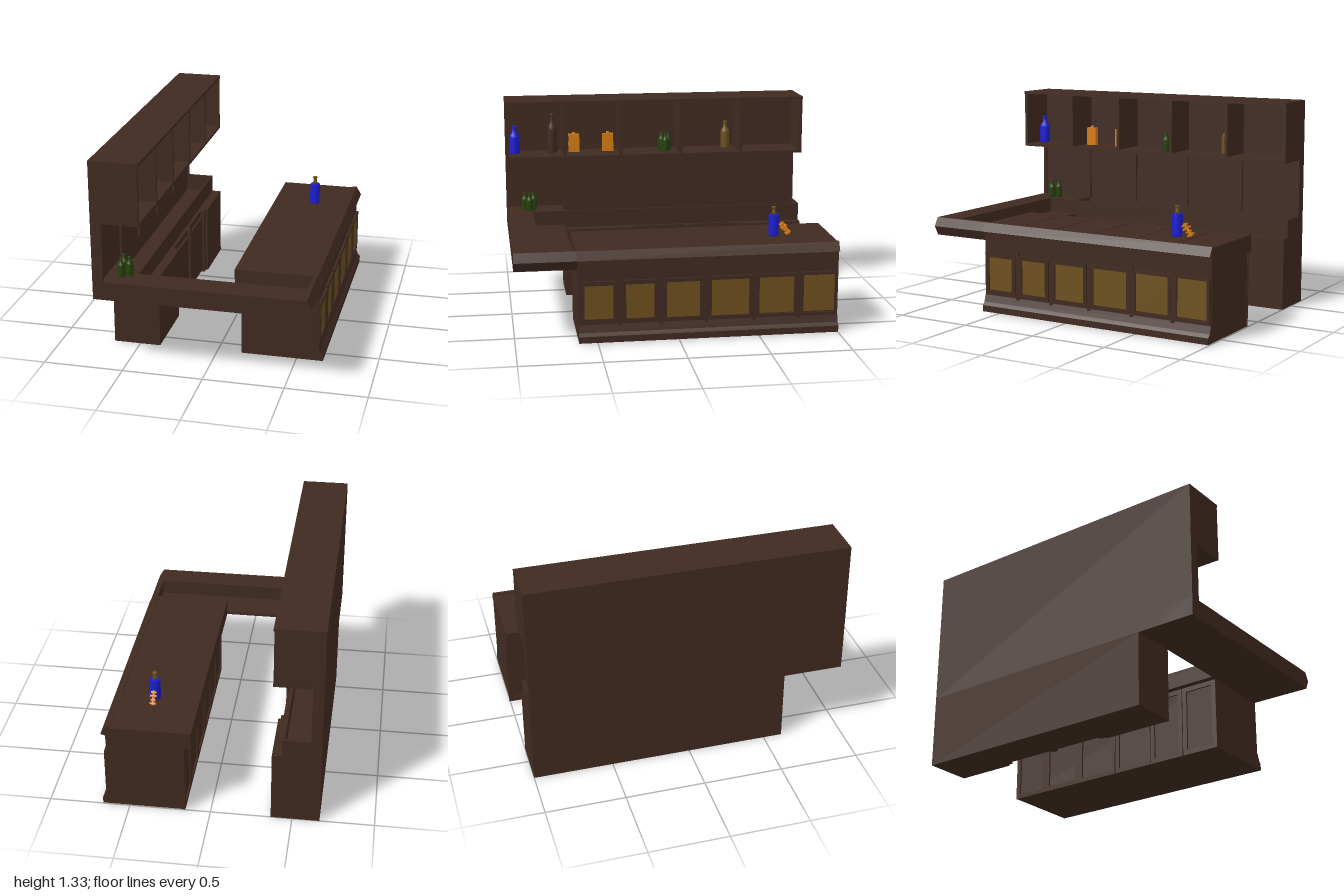
import * as THREE from 'three';

const mat = (name, color) => {
  const m = new THREE.MeshStandardMaterial({ color });
  m.name = name;
  return m;
};

export function createModel() {
  const wood = mat('dark wood', 0x402a20);
  const amber = mat('amber', 0x6d501d);
  const blue = mat('blue glass', 0x1c1cd2);
  const orange = mat('orange', 0xd47d14);
  const green = mat('green glass', 0x25400a);
  const model = new THREE.Group();

  const add = (name, geo, material, parent = model) => {
    const m = new THREE.Mesh(geo, material);
    m.name = name;
    parent.add(m);
    return m;
  };
  // box given by its limits on each axis
  const box = (name, x0, x1, y0, y1, z0, z1, material = wood, parent = model) => {
    const m = add(name, new THREE.BoxGeometry(x1 - x0, y1 - y0, z1 - z0), material, parent);
    m.position.set((x0 + x1) / 2, (y0 + y1) / 2, (z0 + z1) / 2);
    return m;
  };
  // x-y profile swept along z
  const sweep = (name, pts, z0, z1) => {
    const shape = new THREE.Shape(pts.map(p => new THREE.Vector2(...p)));
    const geo = new THREE.ExtrudeGeometry(shape, { depth: z1 - z0, bevelEnabled: false });
    return add(name, geo.translate(0, 0, z0), wood);
  };
  // radius-height profile turned about y
  const turned = (name, pts, sides, material, x, y, z) => {
    const geo = new THREE.LatheGeometry(pts.map(p => new THREE.Vector2(...p)), sides);
    add(name, geo, material).position.set(x, y, z);
  };
  // rectangular frame of four bars on a face across x
  const frame = (name, x0, x1, y0, y1, z0, z1, t) => {
    const g = new THREE.Group();
    g.name = name;
    model.add(g);
    box('lowerRail', x0, x1, y0, y0 + t, z0, z1, wood, g);
    box('upperRail', x0, x1, y1 - t, y1, z0, z1, wood, g);
    box('backStile', x0, x1, y0 + t, y1 - t, z0, z0 + t, wood, g);
    box('frontStile', x0, x1, y0 + t, y1 - t, z1 - t, z1, wood, g);
  };

  // back wall with shallow pilasters
  box('backWall', -0.667, -0.615, 0.46, 1.33, -1, 1);
  for (const z of [0.99, 0.61, 0.235, -0.17, -0.58, -0.99]) {
    box('wallPilaster', -0.615, -0.60, 0.575, 0.945, z - 0.01, z + 0.01);
    box('shelfDivider', -0.615, -0.372, 0.96, 1.315, z - 0.01, z + 0.01);
  }
  // upper shelf
  box('shelfBoard', -0.615, -0.37, 0.945, 0.962, -1, 1);
  box('shelfTop', -0.615, -0.367, 1.312, 1.33, -1, 1);

  // back counter: a sunken well behind a raised lip, above the lower cabinets
  box('wellLip', -0.445, -0.43, 0.46, 0.575, -1, 0.62);
  box('wellEnd', -0.615, -0.445, 0.46, 0.575, -1, -0.985);
  box('lowerCabinet', -0.667, -0.41, 0, 0.46, -1, 0.62);
  box('cabinetEndBlock', -0.41, -0.37, 0, 0.46, -1, -0.61);
  box('cabinetEndBlock', -0.41, -0.37, 0, 0.46, 0.17, 0.62);
  for (const z of [0.15, -0.22, -0.59]) box('cabinetPost', -0.41, -0.385, 0, 0.46, z - 0.02, z + 0.02);
  for (const z of [-0.035, -0.405]) box('cabinetDoor', -0.41, -0.395, 0.04, 0.42, z - 0.145, z + 0.145);

  // front connecting counter: moulded end, and a low work surface behind the raised edge
  const end = [[0.625, 0.46], [0.657, 0.52], [0.625, 0.575]];
  sweep('frontCounterTop', [[-0.667, 0.46], ...end, [-0.667, 0.575]], 0.83, 1);
  sweep('frontWorkSurface', [[-0.667, 0.46], ...end, [0.6, 0.575], [0.6, 0.48], [-0.43, 0.48],
    [-0.43, 0.575], [-0.667, 0.575]], 0.62, 0.83);

  // bar
  box('barBody', 0.165, 0.63, 0.005, 0.47, -1, 0.615);
  sweep('barTop', [[0.113, 0.46], [0.63, 0.46], [0.632, 0.512], [0.66, 0.52], [0.628, 0.575],
    [0.6, 0.575], [0.6, 0.568], [0.113, 0.568]], -1, 0.62);
  sweep('barPlinth', [[0.6, 0.005], [0.667, 0.005], [0.667, 0.045], [0.65, 0.065], [0.635, 0.11], [0.6, 0.11]], -1, 0.615);
  for (const z of [0.36, 0.11, -0.17, -0.47, -0.75]) {
    box('barTopSlat', 0.16, 0.56, 0.566, 0.571, z - 0.004, z + 0.004);
    box('barPilaster', 0.625, 0.644, 0.1, 0.405, z - 0.01, z + 0.01);
  }

  // glazed panels along the bar front: z limits of each frame
  const panels = [[0.375, 0.605], [0.125, 0.35], [-0.155, 0.1], [-0.46, -0.18], [-0.74, -0.48], [-0.995, -0.76]];
  panels.forEach(([z0, z1], i) => {
    const g = i * 0.003;
    frame('panelFrame', 0.625, 0.646, 0.12 - g / 2, 0.385 + g / 2, z0, z1, 0.027 - g / 2);
    box('barPanel', 0.63, 0.638, 0.14, 0.37, z0 + 0.015, z1 - 0.015, amber);
    // recessed doors on the serving side
    frame('servingDoor', 0.154, 0.166, 0.005, 0.46, z0 - 0.01, z1 + 0.01, 0.03);
  });

  // bottles: radius and height fractions from base to lip
  const profile = [[0, 0], [0.95, 0], [1, 0.03], [1, 0.58], [0.85, 0.68], [0.42, 0.78], [0.36, 0.94], [0.45, 0.95], [0.45, 1], [0, 1]];
  const bottle = (name, x, y, z, r, h, material) =>
    turned(name, profile.map(([a, b]) => [a * r, b * h]), 12, material, x, y, z);
  const shelfY = 0.962;
  bottle('blueBottle', -0.53, shelfY, 0.94, 0.036, 0.185, blue);
  bottle('tallBottle', -0.54, shelfY, 0.685, 0.033, 0.265, wood);
  bottle('amberBottle', -0.54, shelfY, -0.5, 0.031, 0.185, amber);
  for (const dz of [0.03, 0, -0.03]) {
    bottle('greenBottle', dz ? -0.523 : -0.48, 0.575, 0.85 + dz, 0.023, 0.117, green);
  }
  for (const [x, z] of [[-0.523, -0.057], [-0.523, -0.101], [-0.48, -0.079]]) {
    bottle('greenBottle', x, shelfY, z, 0.023, 0.122, green);
  }
  // orange flasks
  for (const z of [0.54, 0.31]) {
    box('flaskBase', -0.547, -0.515, shelfY, 1.025, z - 0.037, z + 0.037, orange);
    box('flaskUpper', -0.546, -0.516, 1.025, 1.083, z - 0.036, z + 0.036, orange);
    add('flaskCap', new THREE.CylinderGeometry(0.01, 0.012, 0.014, 10), orange).position.set(-0.531, 1.089, z);
  }

  // siphon on the bar
  turned('siphonBody', [[0, 0], [0.03, 0], [0.033, 0.006], [0.033, 0.133], [0.029, 0.138], [0, 0.138]], 14, blue, 0.388, 0.568, -0.64);
  turned('siphonNeck', [[0, 0], [0.018, 0], [0.012, 0.02], [0.01, 0.038], [0.016, 0.042], [0.014, 0.05], [0, 0.05]], 10, amber, 0.388, 0.705, -0.64);

  // small tilted ornament beside the siphon
  const ornament = new THREE.Group();
  ornament.name = 'ornament';
  add('ornamentStem', new THREE.CylinderGeometry(0.008, 0.011, 0.09, 8), orange, ornament);
  for (const [y, w] of [[-0.034, 0.036], [-0.012, 0.028], [0.012, 0.04], [0.034, 0.032]]) {
    add('ornamentArm', new THREE.BoxGeometry(w, 0.011, w), orange, ornament).position.y = y;
  }
  ornament.position.set(0.388, 0.612, -0.712);
  ornament.rotation.x = 0.65;
  model.add(ornament);

  return model;
}
